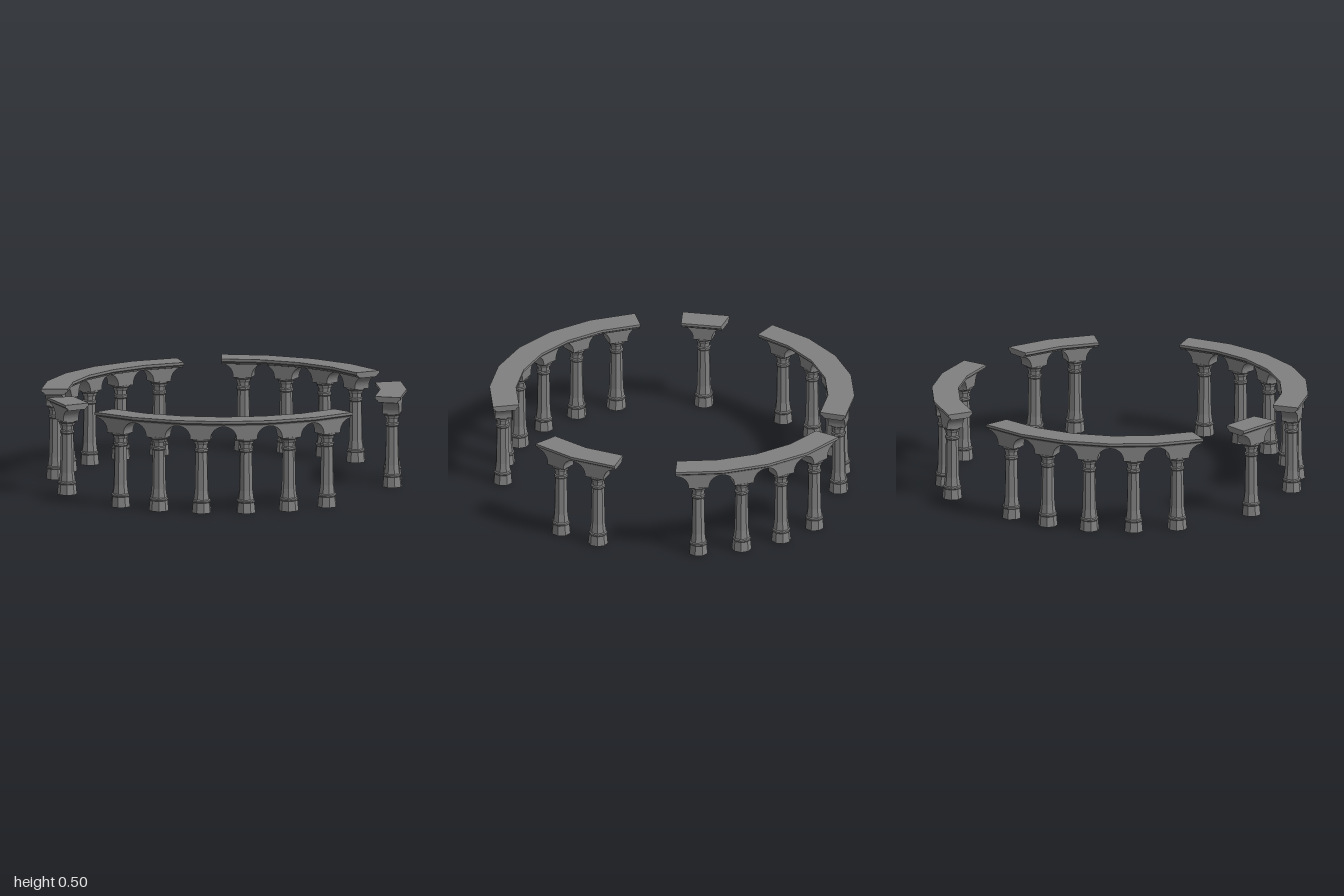
import * as THREE from 'three';

const STEP = Math.PI / 12;             // 24 bays in a full ring
const TAN = Math.tan(STEP / 2);
const RC = 0.897;                      // centre line of the cornice at mid bay
const PIER_OUT = 0.009;                // columns and arches sit slightly outside it
const HALF = RC * TAN;                 // half a bay
const SPRING = 0.407, ARCH = 0.066, TOP = 0.505;

// Moves every vertex of a geometry by a rule
function reshape(geo, rule) {
  const p = geo.attributes.position, v = new THREE.Vector3();
  for (let i = 0; i < p.count; i++) {
    rule(v.fromBufferAttribute(p, i));
    p.setXYZ(i, v.x, v.y, v.z);
  }
  geo.computeVertexNormals();
  return geo;
}

// Octagonal column, open underneath; profile gives half-width across flats and height
function columnGeometry() {
  const profile = [
    [0.049, 0], [0.044, 0.055], [0.047, 0.06], [0.046, 0.067], [0.041, 0.072],
    [0.035, 0.12], [0.031, 0.328], [0.036, 0.334], [0.036, 0.345], [0.031, 0.35],
    [0.032, 0.37], [0.038, 0.378], [0.04, 0.388], [0.047, 0.394], [0.047, 0.403], [0, 0.403],
  ].map(([r, y]) => new THREE.Vector2(r / Math.cos(Math.PI / 8), y));
  return new THREE.LatheGeometry(profile, 8, Math.PI / 8).translate(0, 0, PIER_OUT);
}

// Spandrel wall: a pier with half an arch on each side, ends mitred to the ring
function spandrelGeometry() {
  const s = new THREE.Shape();
  const pier = HALF - ARCH, depth = 0.09;
  s.moveTo(-HALF, 0.482);
  s.lineTo(-HALF, SPRING + ARCH);
  s.absarc(-HALF, SPRING, ARCH, Math.PI / 2, 0, true);
  s.lineTo(-pier, 0.4);
  s.lineTo(pier, 0.4);
  s.lineTo(pier, SPRING);
  s.absarc(HALF, SPRING, ARCH, Math.PI, Math.PI / 2, true);
  s.lineTo(HALF, 0.482);
  const geo = new THREE.ExtrudeGeometry(s, { depth, bevelEnabled: false, curveSegments: 6 });
  return reshape(geo, (v) => {
    v.z += PIER_OUT - depth / 2;
    v.x *= (RC + v.z) / RC;
  });
}

// Moulded cornice slab, swept along the bay and mitred
function corniceGeometry() {
  const side = [[0.046, 0.473], [0.054, 0.475], [0.057, 0.483], [0.065, 0.488], [0.0705, 0.491], [0.0705, TOP]];
  const outline = [...side, ...side.map(([x, y]) => [-x, y]).reverse()];
  const s = new THREE.Shape(outline.map(([x, y]) => new THREE.Vector2(x, y)));
  const geo = new THREE.ExtrudeGeometry(s, { depth: 1, bevelEnabled: false });
  return reshape(geo, (v) => {
    const r = v.x;
    v.x = -(v.z - 0.5) * 2 * (RC + r) * TAN;
    v.z = r;
  });
}

export function createModel() {
  const stone = new THREE.MeshStandardMaterial({ color: 0x808080, flatShading: true, side: THREE.DoubleSide });
  const parts = {
    column: columnGeometry(),
    archSpandrel: spandrelGeometry(),
    cornice: corniceGeometry(),
  };

  // Surviving stretches of the ring: first bay edge, bay count, displacement
  const stretches = [
    { name: 'frontArcade', first: -4, bays: 6 },
    { name: 'leftArcade', first: 4, bays: 2 },
    { name: 'backLeftArcade', first: 7, bays: 4, x: 0.005, z: -0.08 },
    { name: 'backRightArcade', first: 12, bays: 5 },
    { name: 'rightPillar', first: 18, bays: 1 },
  ];

  const model = new THREE.Group();
  model.name = 'colonnadeRing';
  for (const { name, first, bays, x = 0, z = 0 } of stretches) {
    const arcade = new THREE.Group();
    arcade.name = name;
    arcade.position.set(x, 0, 0.022 + z);
    for (let i = 0; i < bays; i++) {
      const bay = new THREE.Group();
      bay.name = 'bay';
      bay.rotation.y = (first + i + 0.5) * STEP;
      for (const [part, geo] of Object.entries(parts)) {
        const mesh = new THREE.Mesh(geo, stone);
        mesh.name = part;
        mesh.position.z = RC;
        bay.add(mesh);
      }
      arcade.add(bay);
    }
    model.add(arcade);
  }
  return model;
}
